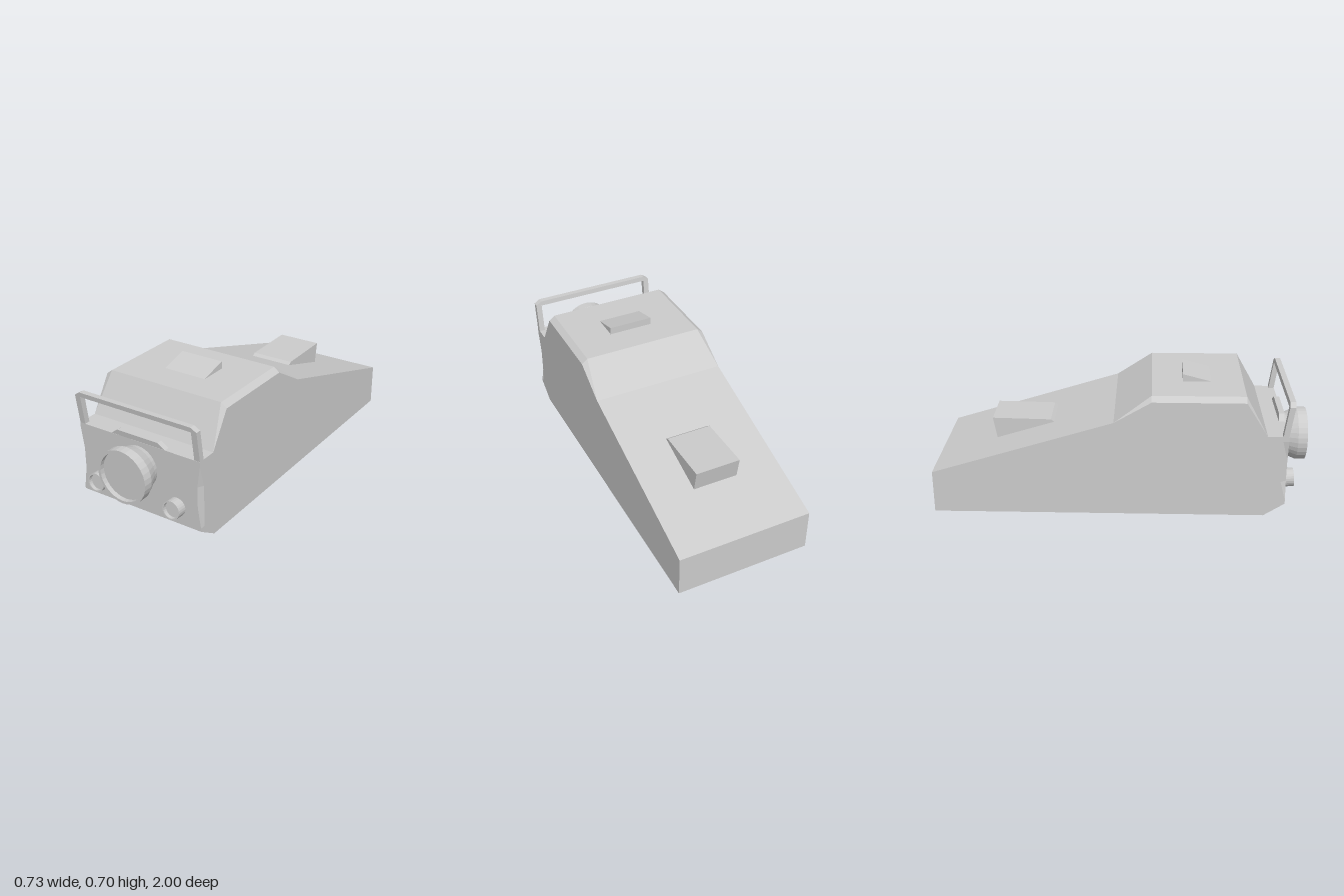
import * as THREE from 'three';

const material = new THREE.MeshStandardMaterial({ color: 0xcccccc, flatShading: true });
const HALF = 0.365;

// Mirrors a right-hand outline (bottom to top) into a closed counterclockwise section.
const mirrored = (right) => [...right, ...right.map(([x, y]) => [-x, y]).reverse()];

// Skins sections running from back to front: [{ z, points }], with optional end caps.
function loft(sections, backCap, frontCap) {
  const pos = [];
  const put = (s, i) => pos.push(s.points[i][0], s.points[i][1], s.z);
  for (let k = 0; k < sections.length - 1; k++) {
    const s = sections[k], t = sections[k + 1], n = s.points.length;
    for (let i = 0; i < n; i++) {
      const j = (i + 1) % n;
      put(s, i); put(s, j); put(t, j);
      put(s, i); put(t, j); put(t, i);
    }
  }
  const cap = (s, flip) => {
    const outline = s.points.map(([x, y]) => new THREE.Vector2(x, y));
    for (const [a, b, c] of THREE.ShapeUtils.triangulateShape(outline, [])) {
      (flip ? [a, c, b] : [a, b, c]).forEach((i) => put(s, i));
    }
  };
  if (backCap) cap(sections[0], true);
  if (frontCap) cap(sections.at(-1), false);
  const geometry = new THREE.BufferGeometry();
  geometry.setAttribute('position', new THREE.Float32BufferAttribute(pos, 3));
  geometry.computeVertexNormals();
  return geometry;
}

const toShape = (points) => new THREE.Shape(points.map(([x, y]) => new THREE.Vector2(x, y)));

// Side profile given as [z, y], extruded across x and centred.
function sideProfile(points, width) {
  const shape = toShape(points.map(([z, y]) => [-z, y]));
  return new THREE.ExtrudeGeometry(shape, { depth: width, bevelEnabled: false })
    .translate(0, 0, -width / 2)
    .rotateY(Math.PI / 2);
}

// Turned part along +z, profile given as [radius, z].
function turned(points, segments) {
  return new THREE.LatheGeometry(points.map(([r, z]) => new THREE.Vector2(r, z)), segments)
    .rotateX(Math.PI / 2);
}

export function createModel() {
  const model = new THREE.Group();
  const add = (name, geometry) => {
    const mesh = new THREE.Mesh(geometry, material);
    mesh.name = name;
    model.add(mesh);
    return mesh;
  };

  // Body: z, bottom height, side height, roof half width, roof height
  const stations = [
    [-1, 0, 0.23, HALF, 0.23],
    [-0.04, 0, 0.525, HALF, 0.525],
    [0.155, 0, 0.64, 0.333, 0.665],
    [0.64, 0, 0.64, 0.333, 0.665],
    [0.755, 0, 0.457, HALF, 0.457],
    [0.835, 0.052, 0.457, HALF, 0.457],
  ];
  add('body', loft(stations.map(([z, bottom, side, roofX, roofY]) => ({
    z, points: mirrored([[HALF, bottom], [HALF, side], [roofX, roofY]]),
  })), true, false));

  // Front plate with dented side edges
  const plate = (z, bottom, dent) => ({
    z,
    points: mirrored([[HALF, bottom], [HALF, 0.09], [HALF - dent, 0.2],
      [HALF - dent, 0.315], [HALF, 0.43], [HALF, 0.457]]),
  });
  add('frontPlate', loft([plate(0.835, 0.052, 0), plate(0.865, 0.072, 0.017)], false, true));

  // Forward-leaning frame above the front plate, with a raised sill in the middle
  const frame = toShape([[-HALF, 0.445], [HALF, 0.445], [HALF, 0.62],
    [0.333, 0.64], [-0.333, 0.64], [-HALF, 0.62]]);
  frame.holes.push(toShape([[0.333, 0.614], [-0.333, 0.614], [-0.333, 0.457], [-0.163, 0.457],
    [-0.122, 0.487], [0.122, 0.487], [0.163, 0.457], [0.333, 0.457]]));
  const frameGeometry = new THREE.ExtrudeGeometry(frame, { depth: 0.03, bevelEnabled: false });
  const p = frameGeometry.attributes.position;
  for (let i = 0; i < p.count; i++) {
    p.setZ(i, p.getZ(i) + 0.834 + (p.getY(i) - 0.457) * 0.14);
  }
  frameGeometry.computeVertexNormals();
  add('frontFrame', frameGeometry);

  // Wedges on the roof and the sloping rear deck
  add('roofWedge', sideProfile([[0.48, 0.663], [0.32, 0.663], [0.32, 0.705]], 0.245));
  add('rearDeckBox', sideProfile(
    [[-0.365, 0.42], [-0.4, 0.4], [-0.68, 0.31], [-0.703, 0.443], [-0.388, 0.437]], 0.245));

  // Large central lamp with a recessed face
  add('mainLamp', turned(
    [[0.11, 0.86], [0.118, 0.89], [0.144, 0.95], [0.144, 1], [0.13, 1], [0.13, 0.975], [0, 0.975]], 32,
  )).position.y = 0.322;

  // Small lamps, tipped slightly upward
  for (const [name, x] of [['rightLamp', -0.243], ['leftLamp', 0.225]]) {
    const lamp = add(name, turned(
      [[0.05, -0.01], [0.05, 0.055], [0.043, 0.055], [0.043, 0.035], [0, 0.035]], 24));
    lamp.position.set(x, 0.167, 0.863);
    lamp.rotation.x = -0.07;
  }

  return model;
}
